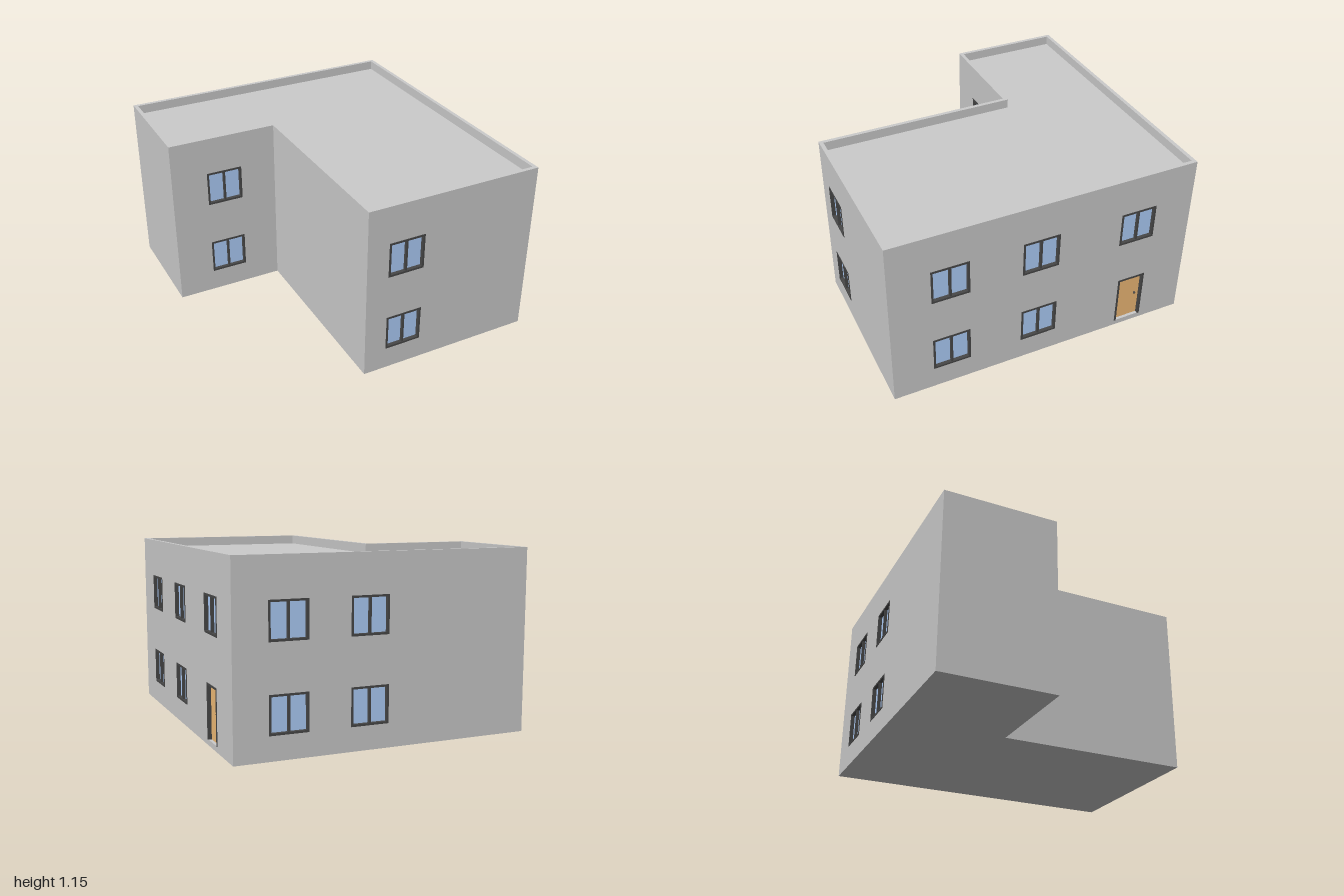
import * as THREE from 'three';

const ROOF = 1.09, TOP = 1.15, RIM = 0.025;
const BAR = 0.013, PROUD = 0.003, RECESS = 0.02;

const material = (color) => new THREE.MeshStandardMaterial({ color });
const grey = material(0xcccccc);
const dark = material(0x484848);
const glass = material(0xb0d0fc);
const wood = material(0xf0bb77);

// L-shaped footprint as [x, z], running left to right along each wall seen from outside
const outline = [[-0.225, 1], [0.945, 1], [0.945, -1], [-0.945, -1], [-0.945, -0.27], [-0.225, -0.27]];
const innerOutline = [
  [-0.225 + RIM, 1 - RIM], [0.945 - RIM, 1 - RIM], [0.945 - RIM, -1 + RIM],
  [-0.945 + RIM, -1 + RIM], [-0.945 + RIM, -0.27 - RIM], [-0.225 + RIM, -0.27 - RIM],
];

// Openings per wall: [distance from the wall's left end, bottom, width, height, kind]
const LOW = 0.147, HIGH = 0.672;
const win = (u, y) => ({ u, y, w: 0.24, h: 0.232, door: false });
const pair = (u) => [win(u, LOW), win(u, HIGH)];
const openings = [
  pair(0.265),
  [...pair(0.38), ...pair(0.96), win(1.62, HIGH), { u: 1.62, y: 0.035, w: 0.19, h: 0.343, door: true }],
  [...pair(0.33), ...pair(0.83)],
  [],
  pair(0.36),
  [],
];

function mesh(name, geometry, mat) {
  const m = new THREE.Mesh(geometry, mat);
  m.name = name;
  return m;
}

function polygon(points) {
  return new THREE.Shape(points.map(([x, y]) => new THREE.Vector2(x, y)));
}

function rect(x0, y0, x1, y1) {
  return polygon([[x0, y0], [x1, y0], [x1, y1], [x0, y1]]);
}

function box(name, w, h, d, x, y, z, mat) {
  const m = mesh(name, new THREE.BoxGeometry(w, h, d), mat);
  m.position.set(x, y, z);
  return m;
}

// Raised frame around a set-back panel; origin at the bottom centre, on the wall face
function createOpening({ w, h, door }) {
  const group = new THREE.Group();
  group.name = door ? 'door' : 'window';
  const depth = RECESS + PROUD + 0.01;
  const zMid = PROUD - depth / 2;
  const bottom = door ? 0 : BAR;

  for (const side of [-1, 1]) {
    group.add(box('frameSide', BAR, h, depth, side * (w - BAR) / 2, h / 2, zMid, dark));
  }
  group.add(box('frameTop', w - 2 * BAR, BAR, depth, 0, h - BAR / 2, zMid, dark));

  const panelH = h - BAR - bottom;
  group.add(box(door ? 'doorLeaf' : 'pane', w - 2 * BAR, panelH, 0.01,
    0, bottom + panelH / 2, -RECESS - 0.005, door ? wood : glass));

  if (door) {
    const knob = mesh('doorHandle', new THREE.SphereGeometry(0.008, 12, 8), dark);
    knob.position.set(0.05, 0.18, -RECESS + 0.006);
    group.add(knob);
    // Threshold closing the wall below the leaf
    group.add(box('threshold', w, 0.004, RECESS, 0, -0.002, -RECESS / 2 - 0.001, grey));
  } else {
    group.add(box('frameBottom', w - 2 * BAR, BAR, depth, 0, BAR / 2, zMid, dark));
    group.add(box('mullion', BAR, panelH, depth - 0.004, 0, bottom + panelH / 2, zMid - 0.002, dark));
  }
  return group;
}

// Wall sheet pierced by its openings
function createWall(a, b, holes) {
  const dx = b[0] - a[0], dz = b[1] - a[1];
  const group = new THREE.Group();
  group.name = 'wallWithOpenings';
  const shape = rect(0, 0, Math.hypot(dx, dz), ROOF);
  for (const o of holes) {
    shape.holes.push(rect(o.u - o.w / 2, o.y, o.u + o.w / 2, o.y + o.h));
    const opening = createOpening(o);
    opening.position.set(o.u, o.y, 0);
    group.add(opening);
  }
  group.add(mesh('wall', new THREE.ShapeGeometry(shape), grey));
  group.position.set(a[0], 0, a[1]);
  group.rotation.y = Math.atan2(-dz, dx);
  return group;
}

export function createModel() {
  const house = new THREE.Group();
  house.name = 'house';

  outline.forEach((a, i) => {
    house.add(createWall(a, outline[(i + 1) % outline.length], openings[i]));
  });

  // Flat roof with a thin parapet around its edge
  const toPlan = (pts) => pts.map(([x, z]) => [x, -z]);
  const roof = mesh('roof', new THREE.ShapeGeometry(polygon(toPlan(innerOutline))).rotateX(-Math.PI / 2), grey);
  roof.position.y = ROOF;
  const ring = polygon(toPlan(outline));
  ring.holes.push(polygon(toPlan(innerOutline)));
  const parapet = mesh('parapet',
    new THREE.ExtrudeGeometry(ring, { depth: TOP - ROOF, bevelEnabled: false }).rotateX(-Math.PI / 2), grey);
  parapet.position.y = ROOF;

  // Underside, facing down
  const base = mesh('base', new THREE.ShapeGeometry(polygon(outline)).rotateX(Math.PI / 2), grey);
  house.add(roof, parapet, base);
  return house;
}
